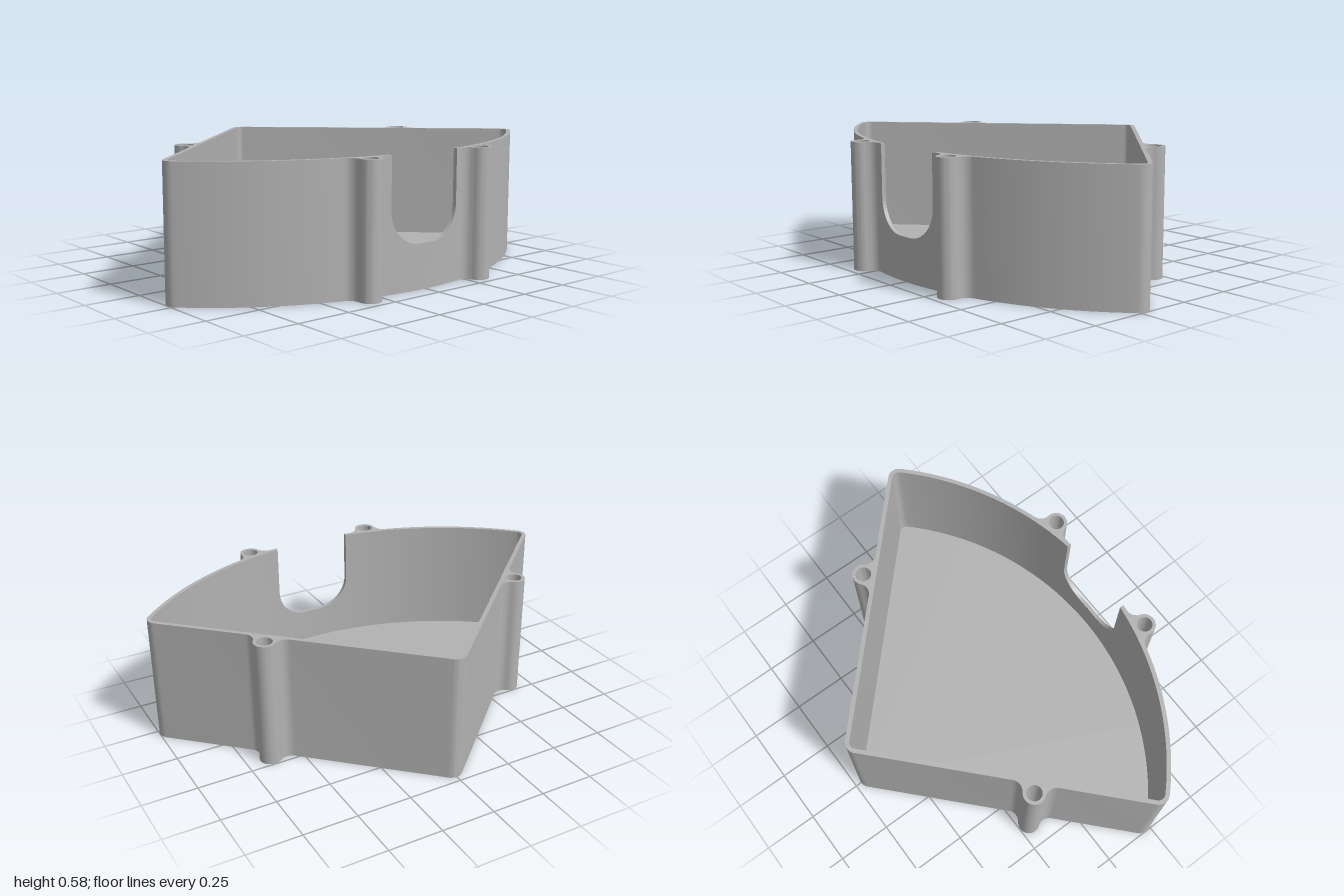
import * as THREE from 'three';
import { toCreasedNormals } from 'three/addons/utils/BufferGeometryUtils.js';

const HEIGHT = 0.585, FLOOR = 0.045, WALL = 0.019;
const CORNER = 0.05;                              // outer corner radius
const POST = 0.05, FILLET = 0.05, HOLE = 0.035;   // screw post radii
const SLOT = 0.19, SILL = 0.2, SLOT_R = 0.15;     // half width, bottom height, corner radius

const V = (x, y) => new THREE.Vector2(x, y);
const polar = (c, r, a) => V(c.x + r * Math.cos(a), c.y + r * Math.sin(a));
const heading = (from, to) => Math.atan2(to.y - from.y, to.x - from.x);

// centres of the rounded corners and of the curved wall
const tip = V(-0.672, 0), horn = V(0.222, 0.95);
const span = 0.669 - CORNER;
const hubX = (span ** 2 - horn.lengthSq()) / (2 * (span - horn.x));
const hub = V(hubX, 0), R = 0.669 - hubX;
const postOnArc = V(0.672, 0.32), postOnSide = V(-0.197, 0.637);

// add an arc the short way round, skipping repeated points
function sweep(pts, c, r, a0, a1, n) {
  const d = Math.atan2(Math.sin(a1 - a0), Math.cos(a1 - a0));
  for (let i = 0; i <= n; i++) {
    const p = polar(c, r, a0 + d * i / n);
    if (!pts.length || pts[pts.length - 1].distanceTo(p) > 1e-5) pts.push(p);
  }
}

// screw post lobe blended into the wall by two fillets
function lobe(pts, post, f1, f2, wall1, wall2, out) {
  sweep(pts, f1, FILLET, wall1, heading(f1, post), 8);
  sweep(pts, post, POST, heading(post, f1), out, 9);
  sweep(pts, post, POST, out, heading(post, f2), 9);
  sweep(pts, f2, FILLET, heading(f2, post), wall2, 8);
}

// half of the outline, from the curved wall round to the tip
function half(inset, y0, posts) {
  const pts = [], r = R - inset, a0 = Math.asin(y0 / r), a1 = heading(hub, horn);
  const along = tip.clone().sub(horn).normalize();
  const normal = V(along.y, -along.x);
  const na = Math.atan2(normal.y, normal.x);
  if (posts) {
    const th = heading(hub, postOnArc), D = hub.distanceTo(postOnArc), F = R + FILLET;
    const da = Math.acos((F * F + D * D - (FILLET + POST) ** 2) / (2 * F * D));
    sweep(pts, hub, r, a0, th - da, 4);
    lobe(pts, postOnArc, polar(hub, F, th - da), polar(hub, F, th + da), th - da + Math.PI, th + da + Math.PI, th);
    sweep(pts, hub, r, th + da, a1, 28);
  } else sweep(pts, hub, r, a0, a1, 36);
  sweep(pts, horn, CORNER - inset, a1, na, 10);
  if (posts) {
    const gap = postOnSide.clone().sub(horn).dot(normal) - CORNER;
    const reach = Math.sqrt((POST + FILLET) ** 2 - (FILLET - gap) ** 2);
    const fillet = s => postOnSide.clone().addScaledVector(normal, FILLET - gap).addScaledVector(along, s * reach);
    lobe(pts, postOnSide, fillet(-1), fillet(1), na + Math.PI, na + Math.PI, na);
  }
  sweep(pts, tip, CORNER - inset, na, Math.PI, 8);
  return pts;
}

const mirrored = pts => pts.map(p => V(p.x, -p.y)).reverse();
const outline = (...args) => {
  const pts = half(...args);
  return [...pts, ...mirrored(pts).slice(1)];
};

function upright(shape, depth) {
  const geo = new THREE.ExtrudeGeometry(shape, { depth, bevelEnabled: false, curveSegments: 24 });
  geo.rotateX(-Math.PI / 2);
  return toCreasedNormals(geo, 0.5);
}

// curved strip of wall below the U-shaped slot
function sillGeometry() {
  const pos = [], index = [], zs = [], flat = SLOT - SLOT_R, n = 14;
  for (let i = n; i >= 0; i--) zs.push(-flat - SLOT_R * Math.sin(i / n * Math.PI / 2));
  zs.push(0, ...zs.map(z => -z).reverse());
  zs.forEach((z, i) => {
    const over = Math.max(0, Math.abs(z) - flat);
    const top = SILL + SLOT_R - Math.sqrt(Math.max(0, SLOT_R ** 2 - over ** 2));
    const xo = hub.x + Math.sqrt(R * R - z * z);
    const xi = hub.x + Math.sqrt((R - WALL) ** 2 - z * z);
    pos.push(xo, 0, z, xo, top, z, xi, top, z, xi, 0, z);
    if (i === zs.length - 1) return;
    for (let k = 0; k < 4; k++) {
      const a = i * 4 + k, b = i * 4 + (k + 1) % 4;
      index.push(a, b, a + 4, b, b + 4, a + 4);
    }
  });
  const geo = new THREE.BufferGeometry();
  geo.setAttribute('position', new THREE.Float32BufferAttribute(pos, 3));
  geo.setIndex(index);
  return toCreasedNormals(geo, 0.5);
}

export function createModel() {
  const group = new THREE.Group();
  group.name = 'sectorTray';
  const grey = new THREE.MeshStandardMaterial({ color: 0xb2b2b2 });
  grey.name = 'grey';
  const add = (name, geo) => {
    const mesh = new THREE.Mesh(geo, grey);
    mesh.name = name;
    group.add(mesh);
    return mesh;
  };

  // full-height wall with posts, open at the slot
  const centres = [postOnArc, postOnSide].flatMap(p => [p, V(p.x, -p.y)]);
  const wall = new THREE.Shape([...outline(0, SLOT, true), ...outline(WALL, SLOT, false).reverse()]);
  for (const c of centres) wall.holes.push(new THREE.Path().absarc(c.x, c.y, HOLE, 0, Math.PI * 2, true));
  add('wall', upright(wall, HEIGHT));
  add('slotSill', sillGeometry());

  // floor and the closed bottoms of the screw holes
  add('floor', upright(new THREE.Shape(outline(WALL, 0, false).slice(0, -1)), FLOOR));
  for (const c of centres) {
    add('holeBottom', new THREE.CylinderGeometry(HOLE, HOLE, FLOOR, 24)).position.set(c.x, FLOOR / 2, -c.y);
  }
  return group;
}
